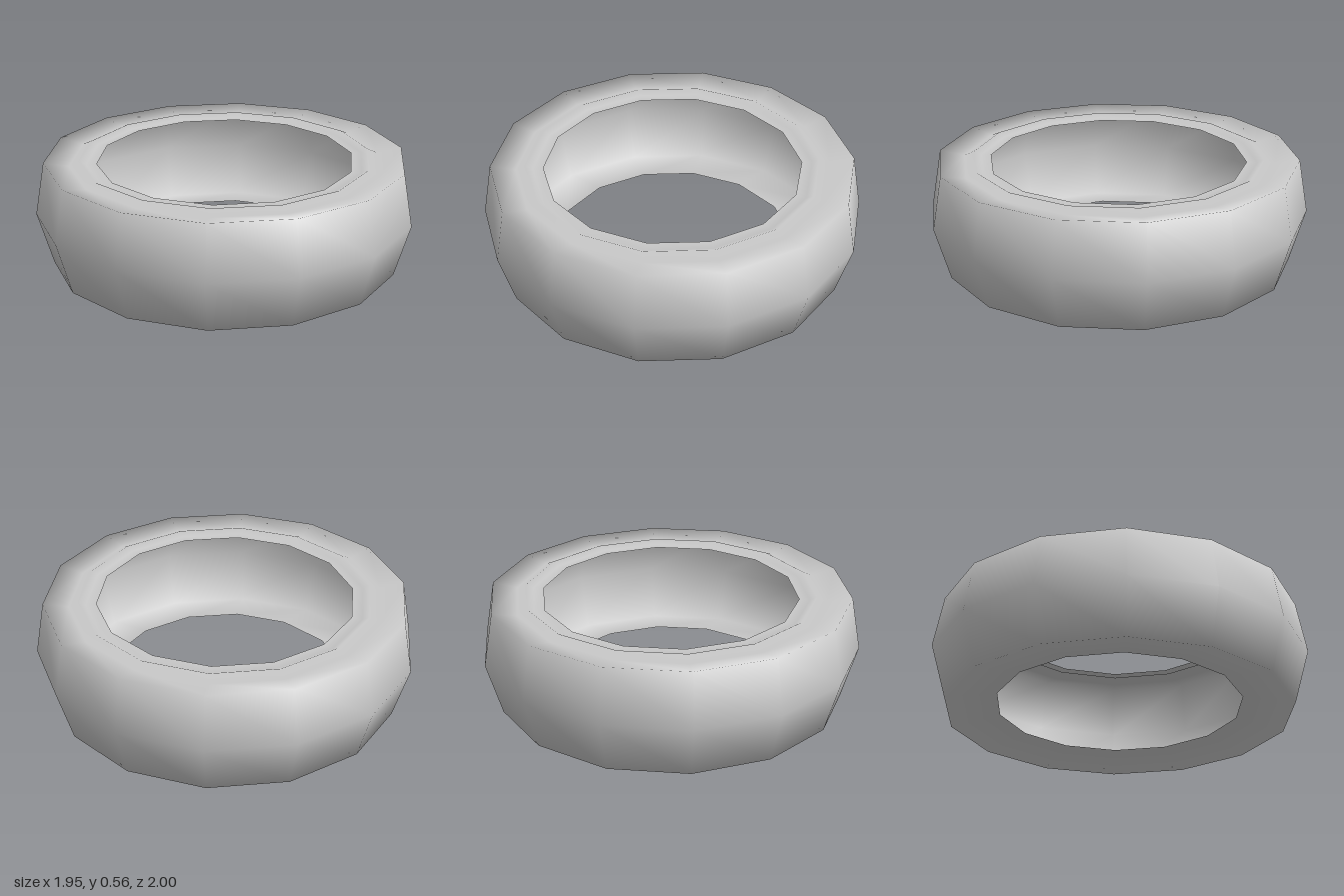
import * as THREE from 'three';

// Cross-section of the hollow, open shell as [radius, height], from lower to upper inner rim
const PROFILE = [
  [0.65, 0.05], [0.92, 0],                  // underside
  [1, 0.28], [0.95, 0.56],                  // tread
  [0.82, 0.535], [0.765, 0.56],             // upper side and its ridge
  [0.73, 0.54], [0.675, 0.542],             // step down to the upper inner rim
];
const SIDES = 14;

export function createModel() {
  const group = new THREE.Group();
  group.name = 'tyre';

  const rubber = new THREE.MeshStandardMaterial({ color: 0xc8c8c8, side: THREE.DoubleSide });
  rubber.name = 'light grey';

  // Smooth fourteen-sided shell, open towards the middle
  const points = PROFILE.map(([r, y]) => new THREE.Vector2(r, y));
  const shell = new THREE.Mesh(new THREE.LatheGeometry(points, SIDES), rubber);
  shell.name = 'tyreShell';
  group.add(shell);

  return group;
}
